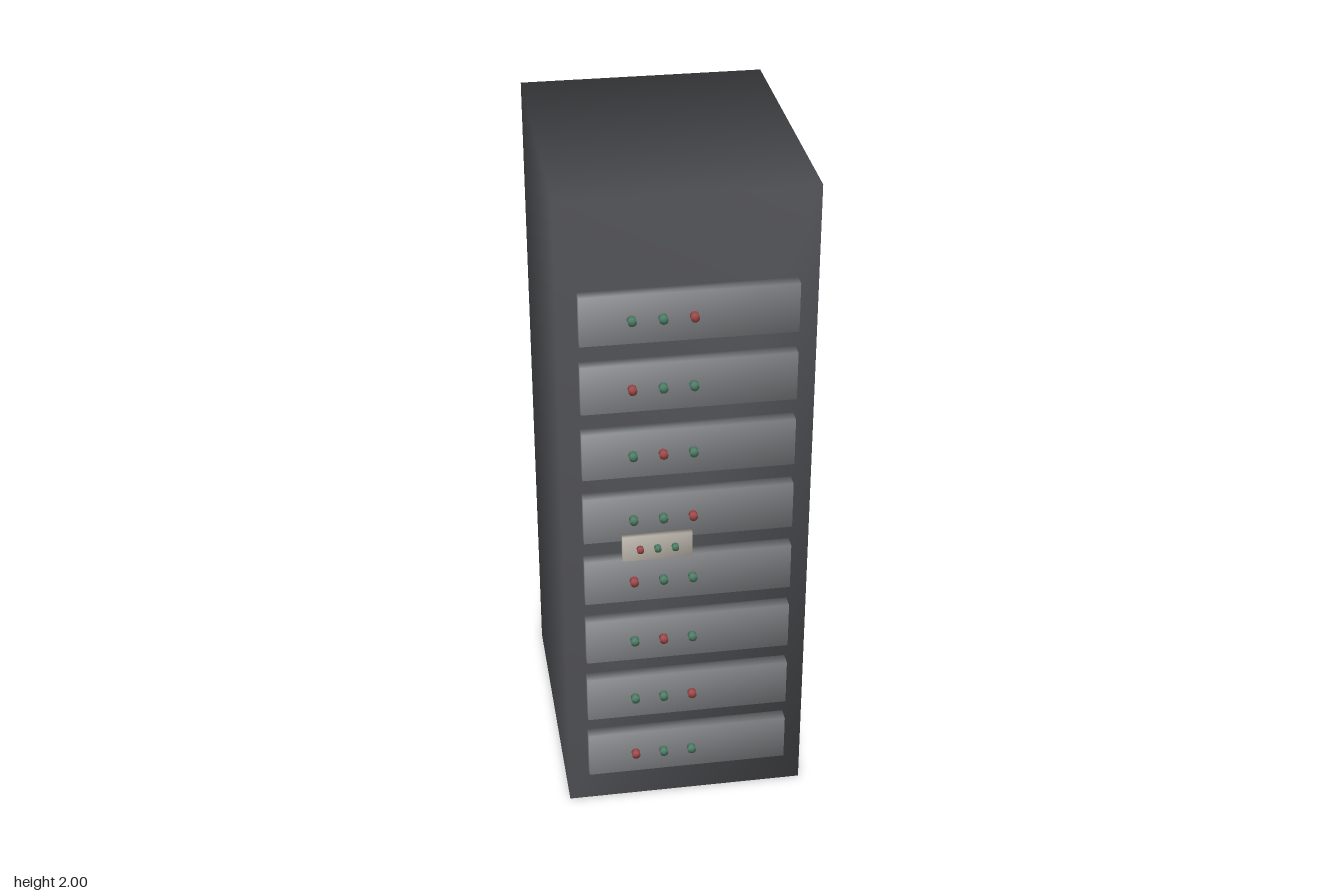
import * as THREE from 'three';
import { mergeVertices } from 'three/addons/utils/BufferGeometryUtils.js';

const mat = (color) => new THREE.MeshStandardMaterial({ color });

// Weld shared corners so the shading runs smoothly over every edge.
function weld(geometry) {
  geometry.deleteAttribute('normal');
  geometry.deleteAttribute('uv');
  const welded = mergeVertices(geometry);
  welded.computeVertexNormals();
  return welded;
}

export function createModel() {
  const model = new THREE.Group();
  model.name = 'serverRack';

  const cabinetMat = mat(0x55565a);
  const unitMat = mat(0x7b7d80);
  const deviceMat = mat(0xb5afa5);
  const red = mat(0xa04a4a);
  const green = mat(0x4f7f68);

  function add(parent, name, geometry, material, x, y, z) {
    const mesh = new THREE.Mesh(geometry, material);
    mesh.name = name;
    mesh.position.set(x, y, z);
    parent.add(mesh);
  }
  const box = (w, h, d) => weld(new THREE.BoxGeometry(w, h, d));
  const light = (r, d) => weld(new THREE.CylinderGeometry(r, r, d, 12).rotateX(Math.PI / 2));

  // Cabinet
  add(model, 'cabinet', box(0.716, 2, 0.862), cabinetMat, 0, 1, -0.047);

  // Eight front units, each with three lights, the red one shifting row by row
  const unitGeo = box(0.6, 0.145, 0.04);
  const lightGeo = light(0.0125, 0.02);
  for (let row = 0; row < 8; row++) {
    const unit = new THREE.Group();
    unit.name = 'rackUnit';
    unit.position.y = 0.192 + row * 0.21;
    add(unit, 'unitPanel', unitGeo, unitMat, 0, 0, 0.403);
    for (let i = 0; i < 3; i++) {
      add(unit, 'statusLight', lightGeo, (row + i) % 3 ? green : red, -0.159 + i * 0.085, 0, 0.432);
    }
    model.add(unit);
  }

  // Small device floating in front of the units
  const device = new THREE.Group();
  device.name = 'smallDevice';
  device.position.set(-0.096, 0.956, 0);
  add(device, 'devicePanel', box(0.2, 0.08, 0.017), deviceMat, 0, 0, 0.4545);
  const smallLightGeo = light(0.01, 0.015);
  for (let i = 0; i < 3; i++) {
    add(device, 'deviceLight', smallLightGeo, i ? green : red, (i - 1) * 0.05, 0, 0.4695);
  }
  model.add(device);

  return model;
}
